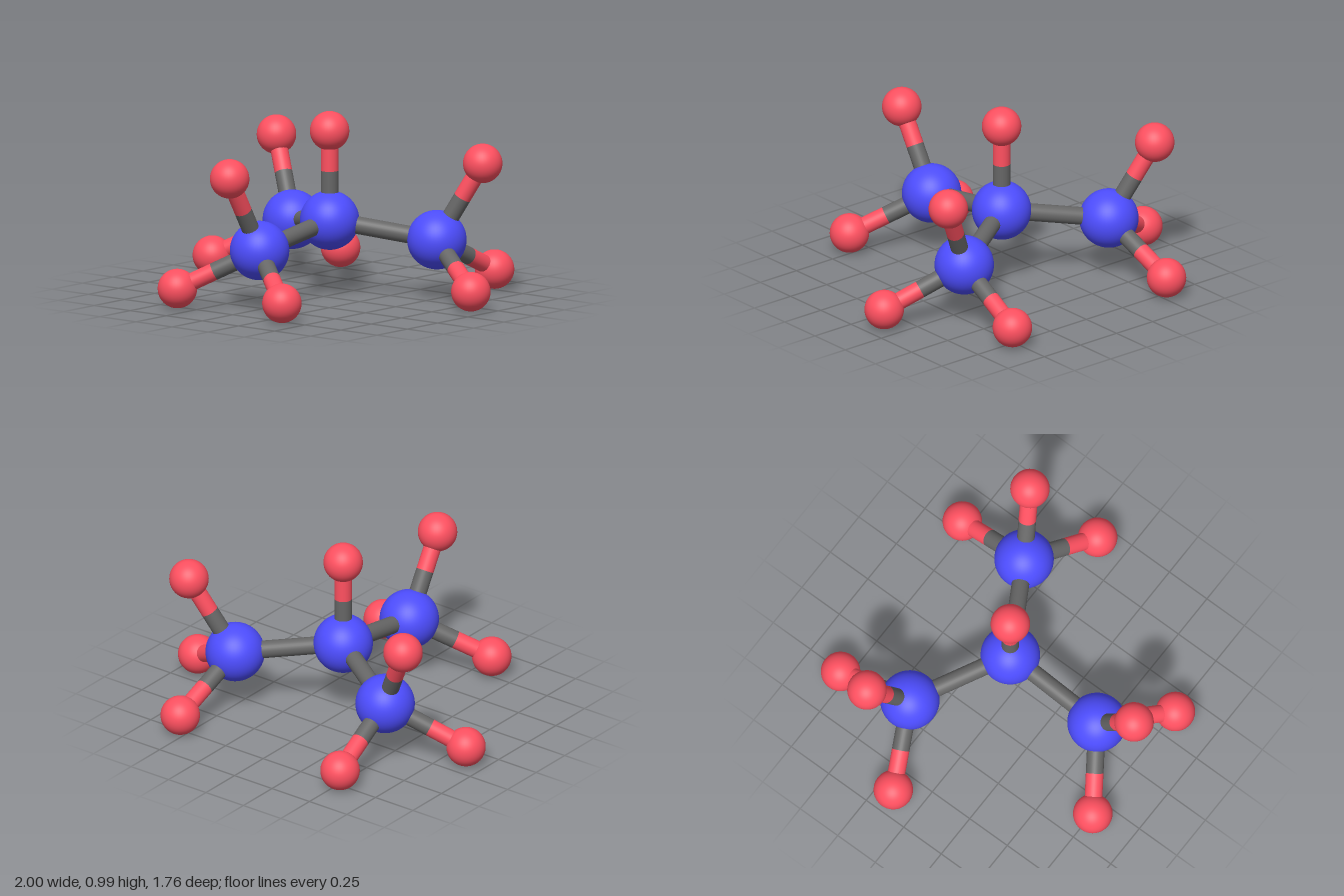
import * as THREE from 'three';

const BIG_R = 0.158, SMALL_R = 0.105, ROD_R = 0.047;

export function createModel() {
  const model = new THREE.Group();
  model.name = 'ballAndStickModel';

  const blue = new THREE.MeshStandardMaterial({ color: 0x4d4dff });
  const red = new THREE.MeshStandardMaterial({ color: 0xff5060 });
  const grey = new THREE.MeshStandardMaterial({ color: 0x666666 });
  const bigBall = new THREE.SphereGeometry(BIG_R, 48, 32);
  const smallBall = new THREE.SphereGeometry(SMALL_R, 40, 28);
  const up = new THREE.Vector3(0, 1, 0);

  function addBall(parent, name, geometry, material, position) {
    const ball = new THREE.Mesh(geometry, material);
    ball.name = name;
    ball.position.copy(position);
    parent.add(ball);
  }

  function addRod(parent, name, material, a, b) {
    const along = b.clone().sub(a);
    const rod = new THREE.Mesh(new THREE.CylinderGeometry(ROD_R, ROD_R, along.length(), 32), material);
    rod.name = name;
    rod.position.copy(a).add(b).multiplyScalar(0.5);
    rod.quaternion.setFromUnitVectors(up, along.normalize());
    parent.add(rod);
  }

  // Small ball on a two-tone rod, split halfway along its exposed length
  function addTip(parent, hub, tip) {
    const length = hub.distanceTo(tip);
    const split = hub.clone().lerp(tip, (length + BIG_R - SMALL_R) / 2 / length);
    addRod(parent, 'rodInnerHalf', grey, hub, split);
    addRod(parent, 'rodOuterHalf', red, split, tip);
    addBall(parent, 'smallBall', smallBall, red, tip);
  }

  // Central ball with its upright tip
  const centre = new THREE.Vector3(0, 0.407, 0);
  const core = new THREE.Group();
  core.name = 'centralUnit';
  addBall(core, 'centralBall', bigBall, blue, centre);
  addTip(core, centre, new THREE.Vector3(0, 0.888, 0));
  model.add(core);

  // Three identical arms around the vertical axis, the first facing the front
  for (let i = 0; i < 3; i++) {
    const arm = new THREE.Group();
    arm.name = 'arm' + (i + 1);
    const hub = new THREE.Vector3(0, 0.319, 0.578);
    addRod(arm, 'connectingRod', grey, centre, hub);
    addBall(arm, 'armBall', bigBall, blue, hub);
    addTip(arm, hub, new THREE.Vector3(0, 0.737, 0.825));
    for (const side of [-1, 1]) addTip(arm, hub, new THREE.Vector3(side * 0.362, 0.107, 0.825));
    arm.rotation.y = (i * Math.PI * 2) / 3;
    model.add(arm);
  }

  model.position.z = -0.05;
  return model;
}
